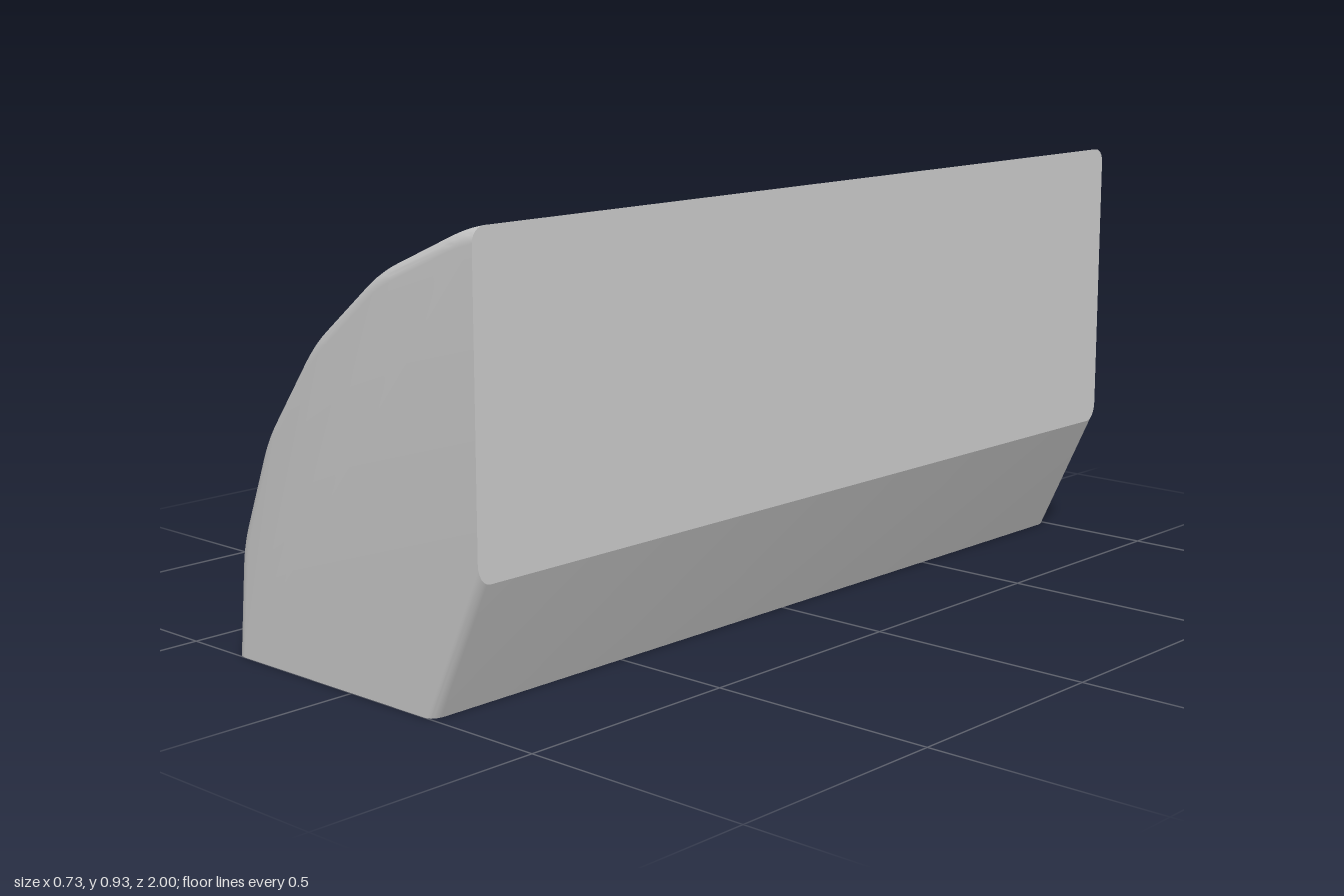
import * as THREE from 'three';
import { toCreasedNormals } from 'three/addons/utils/BufferGeometryUtils.js';

const CORNER_STEPS = 5, BEVEL_STEPS = 6, BEVEL = 0.03, CHAMFER_BEVEL = 0.018;

// Outline points, each with the direction it moves when the end edges are rounded
function makeProfile() {
  const v = (x, y) => new THREE.Vector2(x, y);
  const knots = [v(-0.366, 0), v(-0.343, 0.235), v(-0.252, 0.465), v(-0.1, 0.67),
    v(0.095, 0.825), v(0.322, 0.922), v(0.366, 0.932)];
  const curve = [];
  // Faceted dome with softened corners
  for (let i = 1; i < knots.length - 1; i++) {
    const k = knots[i];
    const toward = (n) => {
      const d = n.clone().sub(k);
      return k.clone().addScaledVector(d.clone().normalize(), Math.min(0.045, d.length() * 0.6));
    };
    const bend = new THREE.QuadraticBezierCurve(toward(knots[i - 1]), k, toward(knots[i + 1]));
    for (let s = 0; s <= CORNER_STEPS; s++) {
      const t = bend.getTangent(s / CORNER_STEPS);
      curve.push({ p: bend.getPoint(s / CORNER_STEPS), inset: v(t.y, -t.x).multiplyScalar(BEVEL) });
    }
  }
  return [
    { p: knots[0], inset: v(BEVEL, 0) },
    ...curve,
    { p: knots[6], inset: v(0, -BEVEL) },
    // Slanted lower edge
    { p: v(0.366, 0.28), inset: v(0, CHAMFER_BEVEL * 2.36) },
    { p: v(0.234, 0), inset: v(-CHAMFER_BEVEL * 1.1, 0) },
  ];
}

function makeBodyGeometry() {
  const profile = makeProfile(), n = profile.length;
  // Layers along z: a rounded edge at each end, straight between
  const layers = [];
  for (let s = 0; s <= BEVEL_STEPS; s++) {
    const a = (s / BEVEL_STEPS) * Math.PI / 2;
    layers.push({ z: -1 + BEVEL * (1 - Math.cos(a)), d: 1 - Math.sin(a) });
  }
  layers.push(...layers.map(({ z, d }) => ({ z: -z, d })).reverse());

  const positions = [], index = [];
  for (const { z, d } of layers)
    for (const { p, inset } of profile) positions.push(p.x + inset.x * d, p.y + inset.y * d, z);

  for (let k = 0; k < layers.length - 1; k++)
    for (let i = 0; i < n; i++) {
      const j = (i + 1) % n;
      const a = k * n + i, b = a + n, c = (k + 1) * n + j, e = k * n + j;
      index.push(a, b, c, a, c, e);
    }
  // End faces
  const front = (layers.length - 1) * n;
  for (let i = 1; i < n - 1; i++) {
    index.push(0, i, i + 1);
    index.push(front, front + i + 1, front + i);
  }
  const geometry = new THREE.BufferGeometry();
  geometry.setAttribute('position', new THREE.Float32BufferAttribute(positions, 3));
  geometry.setIndex(index);
  return toCreasedNormals(geometry, 0.4);
}

export function createModel() {
  const group = new THREE.Group();
  const body = new THREE.Mesh(makeBodyGeometry(), new THREE.MeshStandardMaterial({ color: 0xcccccc }));
  body.name = 'curvedBody';
  group.add(body);
  return group;
}
